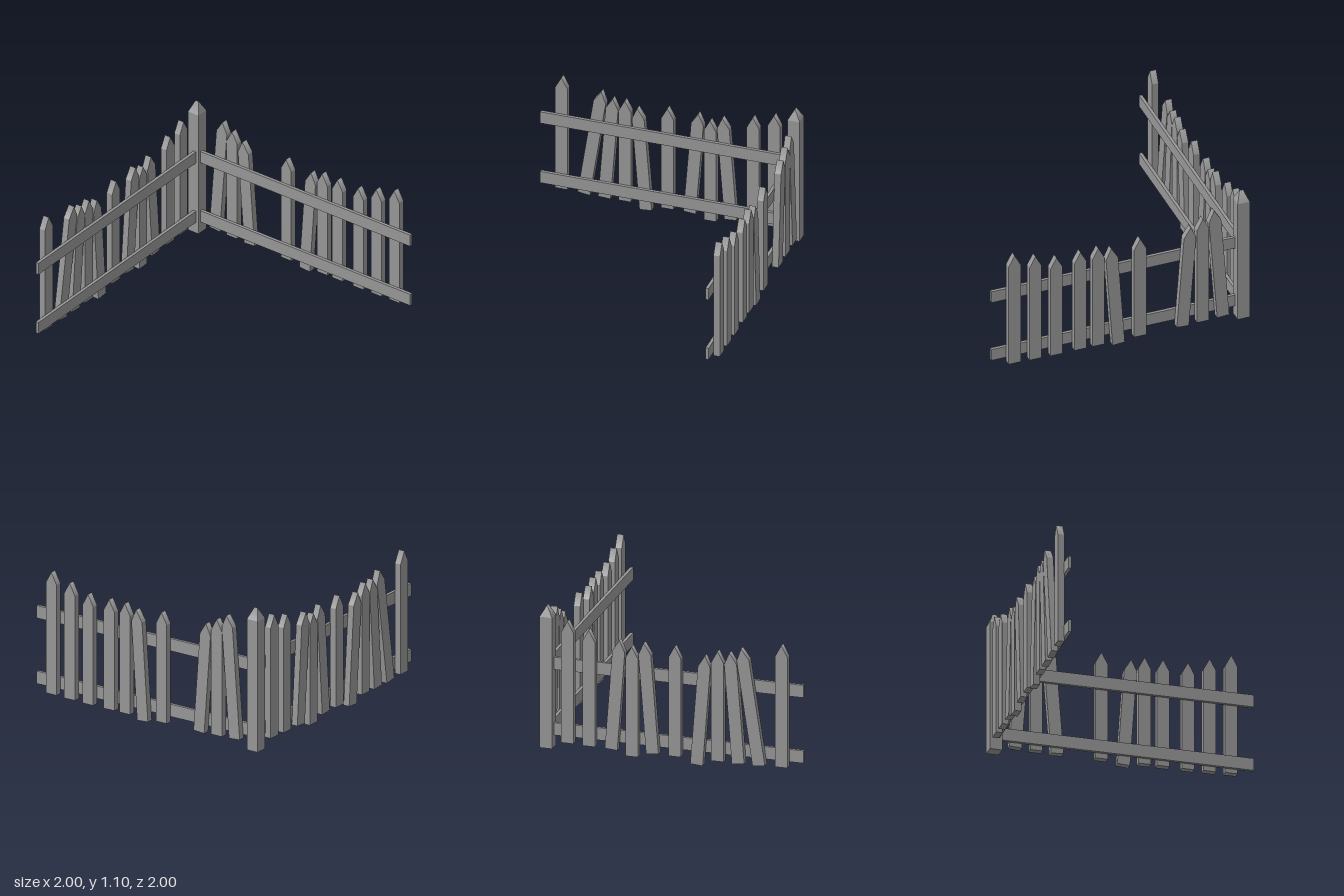
import * as THREE from 'three';

const material = new THREE.MeshStandardMaterial({ color: 0x979797 });
const WIDTH = 0.095, DEPTH = 0.05, POINT = 0.09;

function addBox(parent, name, [x0, x1], [y0, y1], [z0, z1]) {
  const mesh = new THREE.Mesh(new THREE.BoxGeometry(x1 - x0, y1 - y0, z1 - z0), material);
  mesh.position.set((x0 + x1) / 2, (y0 + y1) / 2, (z0 + z1) / 2);
  mesh.name = name;
  parent.add(mesh);
}

// Shade the two slopes smoothly across the ridge where they meet
function softenRidge(geometry) {
  geometry.computeBoundingBox();
  const { position, normal } = geometry.attributes;
  const top = geometry.boundingBox.max.y - 0.001;
  for (let i = 0; i < position.count; i++) {
    if (position.getY(i) > top && Math.abs(normal.getZ(i)) < 0.01) normal.setXYZ(i, 0, 1, 0);
  }
}

// Pointed board running from the middle of its foot to its tip
function picket([footX, footY, tipX, tipY]) {
  const dx = tipX - footX, dy = tipY - footY, length = Math.hypot(dx, dy), w = WIDTH / 2;
  const outline = new THREE.Shape([
    [-w, 0], [w, 0], [w, length - POINT], [0, length], [-w, length - POINT],
  ].map(([x, y]) => new THREE.Vector2(x, y)));
  const geometry = new THREE.ExtrudeGeometry(outline, { depth: DEPTH, bevelEnabled: false });
  softenRidge(geometry);
  const mesh = new THREE.Mesh(geometry, material);
  mesh.position.set(footX, footY, -1);
  mesh.rotation.z = -Math.atan2(dx, dy);
  mesh.name = 'picket';
  return mesh;
}

// One run of fence: pickets on the outside, two rails on the inside
function fence(name, railSpan, pickets) {
  const group = new THREE.Group();
  group.name = name;
  addBox(group, 'lowerRail', railSpan, [0.091, 0.187], [-0.952, -0.928]);
  addBox(group, 'upperRail', railSpan, [0.599, 0.695], [-0.952, -0.928]);
  for (const p of pickets) group.add(picket(p));
  return group;
}

// Square post whose hipped top ends in a short ridge along z
function cornerPost() {
  const group = new THREE.Group();
  group.name = 'cornerPost';
  addBox(group, 'postShaft', [0.905, 1], [0, 1.015], [-1, -0.905]);
  const cap = new THREE.BoxGeometry(0.095, 0.085, 0.095);
  const pos = cap.attributes.position;
  for (let i = 0; i < pos.count; i++) {
    if (pos.getY(i) > 0) {
      pos.setX(i, 0);
      pos.setZ(i, Math.sign(pos.getZ(i)) * 0.014);
    }
  }
  cap.computeVertexNormals();
  softenRidge(cap);
  const mesh = new THREE.Mesh(cap, material);
  mesh.position.set(0.9525, 1.0575, -0.9525);
  mesh.name = 'postCap';
  group.add(mesh);
  return group;
}

export function createModel() {
  const model = new THREE.Group();
  model.name = 'cornerFence';

  // Each picket: foot position, foot height, tip position, tip height
  const back = fence('backFence', [-1, 0.95], [
    [-0.845, 0.058, -0.845, 1.003],
    [-0.673, 0.05, -0.538, 0.942],
    [-0.515, 0.047, -0.45, 0.901],
    [-0.358, 0.049, -0.358, 0.902],
    [-0.198, 0.004, -0.263, 0.856],
    [-0.031, 0.049, -0.031, 0.902],
    [0.139, 0.049, 0.205, 0.901],
    [0.296, 0.011, 0.296, 0.863],
    [0.454, 0.049, 0.39, 0.901],
    [0.625, 0.053, 0.625, 0.954],
    [0.787, 0.058, 0.787, 1.003],
  ]);

  // Same construction turned so that its length runs along z
  const side = fence('sideFence', [-0.95, 1], [
    [0.837, 0.058, 0.837, 1.003],
    [0.674, 0.053, 0.674, 0.954],
    [0.51, 0.049, 0.51, 0.902],
    [0.322, 0.049, 0.322, 0.902],
    [0.183, 0.049, 0.183, 0.902],
    [0.024, 0.023, 0.082, 0.873],
    [-0.144, 0.049, -0.144, 0.902],
    [-0.477, 0.048, -0.54, 0.901],
    [-0.635, 0.053, -0.635, 0.954],
    [-0.793, 0.059, -0.722, 1.002],
  ]);
  side.rotation.y = -Math.PI / 2;

  model.add(back, side, cornerPost());
  return model;
}
